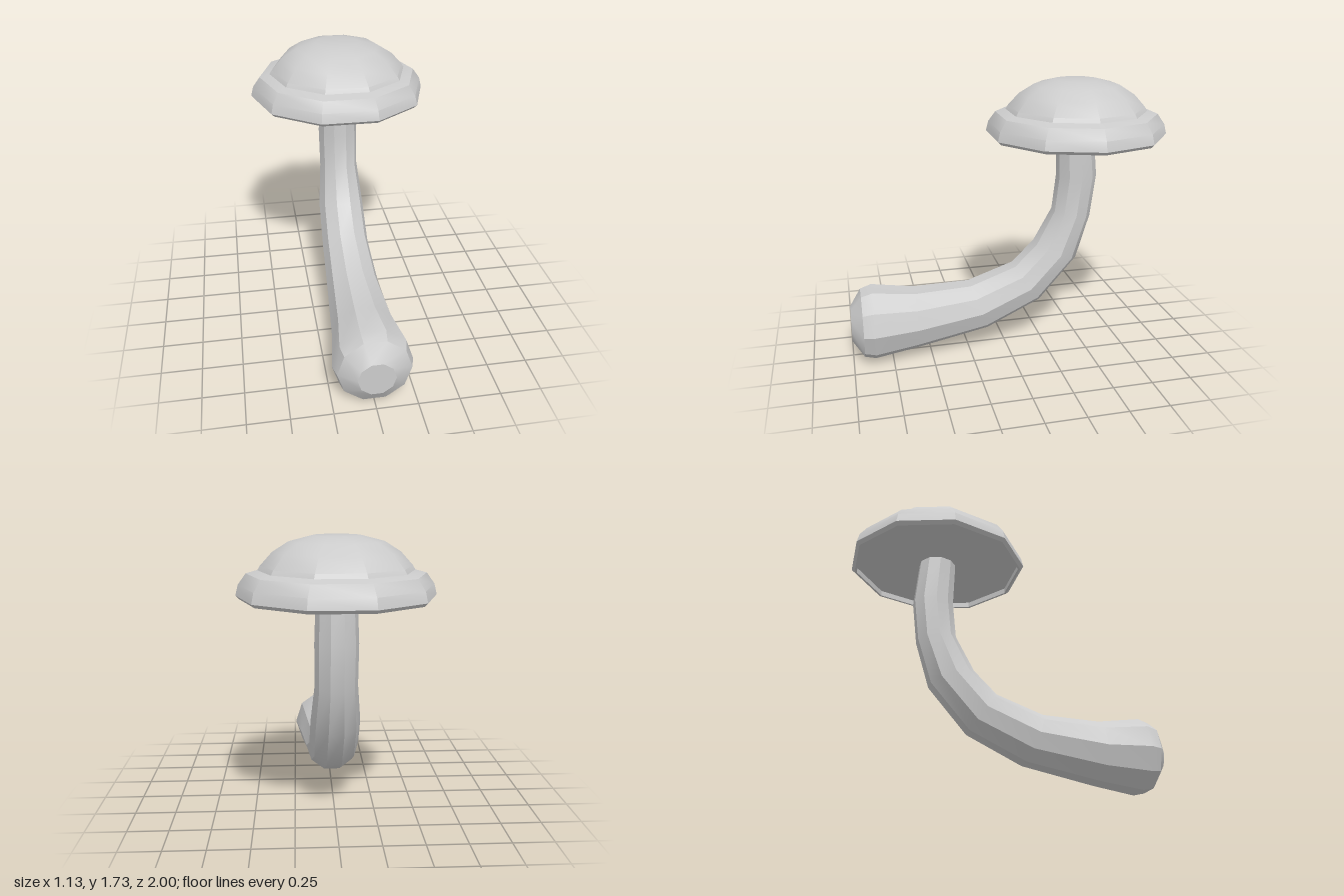
import * as THREE from 'three';
import { toCreasedNormals } from 'three/addons/utils/BufferGeometryUtils.js';

const SIDES = 10;
const CREASE = THREE.MathUtils.degToRad(31);

// Skins a row of rings [z, y, radius, tilt in degrees]; tilt 0 faces along z, 90 faces up
function ringTube(rings) {
  const positions = [], index = [];
  rings.forEach(([z, y, r, tilt], i) => {
    const t = THREE.MathUtils.degToRad(tilt);
    for (let j = 0; j < SIDES; j++) {
      const a = (j / SIDES) * Math.PI * 2;
      const n = r * Math.sin(a);
      positions.push(r * Math.cos(a), y + n * Math.cos(t), z + n * Math.sin(t));
      if (i === rings.length - 1) continue;
      const k = (j + 1) % SIDES;
      const p = i * SIDES + j, q = i * SIDES + k;
      index.push(p, p + SIDES, q, q, p + SIDES, q + SIDES);
    }
  });
  const geometry = new THREE.BufferGeometry();
  geometry.setAttribute('position', new THREE.Float32BufferAttribute(positions, 3));
  geometry.setIndex(index);
  return geometry;
}

export function createModel() {
  const group = new THREE.Group();
  group.name = 'mushroom';
  const material = new THREE.MeshStandardMaterial({ color: 0xcccccc });

  const addPart = (name, geometry) => {
    const mesh = new THREE.Mesh(toCreasedNormals(geometry, CREASE), material);
    mesh.name = name;
    group.add(mesh);
    return mesh;
  };

  // Bent stem, from its bulbous foot up into the cap
  addPart('stem', ringTube([
    [1, 0.23, 0, 0],
    [1, 0.23, 0.113, 0],
    [0.93, 0.23, 0.22, 0],
    [0.86, 0.233, 0.24, 0],
    [0.59, 0.233, 0.2, 0],
    [0.175, 0.283, 0.17, 20],
    [-0.148, 0.418, 0.155, 34],
    [-0.343, 0.628, 0.15, 68],
    [-0.448, 0.88, 0.126, 80],
    [-0.478, 1.13, 0.128, 90],
    [-0.46, 1.43, 0.117, 94],
  ]));

  // Two-tier cap with a slightly recessed underside
  const profile = [
    [0, 1.42], [0.53, 1.42], [0.53, 1.385], [0.545, 1.385], [0.565, 1.405],
    [0.55, 1.465], [0.505, 1.528], [0.44, 1.545], [0.425, 1.57],
    [0.357, 1.645], [0.265, 1.703], [0.14, 1.735], [0, 1.735],
  ].map(([x, y]) => new THREE.Vector2(x, y));
  const cap = addPart('cap', new THREE.LatheGeometry(profile, SIDES, Math.PI / 2));
  cap.position.z = -0.462;

  return group;
}
